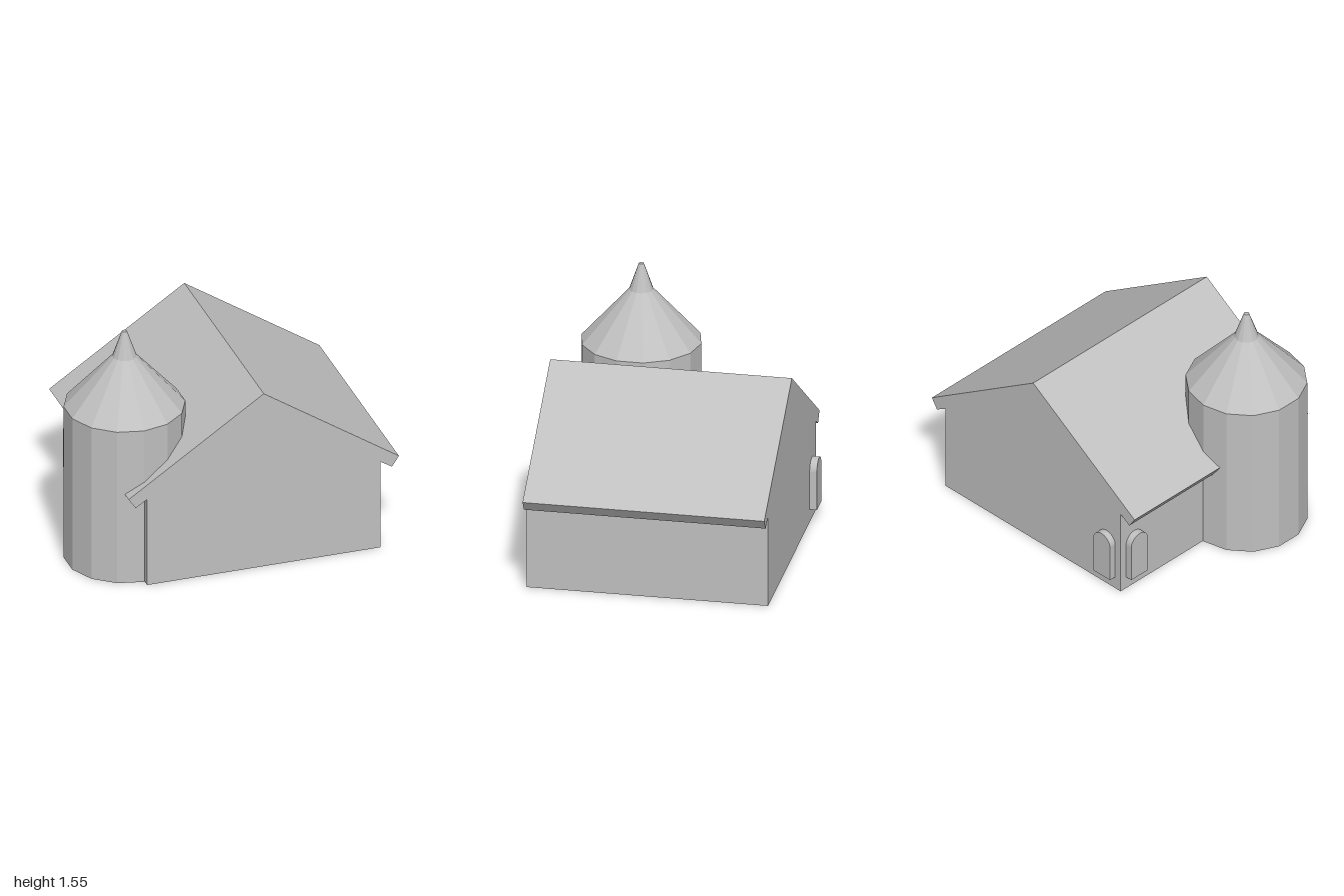
import * as THREE from 'three';

export function createModel() {
  const model = new THREE.Group();
  const plaster = new THREE.MeshStandardMaterial({ color: 0xc0c0c0 });
  plaster.name = 'plain grey';

  const add = (name, geometry, x = 0, y = 0, z = 0) => {
    const mesh = new THREE.Mesh(geometry, plaster);
    mesh.name = name;
    mesh.position.set(x, y, z);
    model.add(mesh);
    return mesh;
  };

  // Separate the faces so that every facet is shaded flat
  const faceted = (geometry) => {
    const flat = geometry.toNonIndexed();
    flat.computeVertexNormals();
    return flat;
  };

  // Barn: gable profile with overhanging eaves, mirrored about the ridge
  const half = [[0.755, 0], [0.755, 0.595], [0.83, 0.548], [0.875, 0.615]];
  const gable = [
    ...half,
    [0, 1.2],
    ...half.map(([x, y]) => [-x, y]).reverse(),
  ].map(([x, y]) => new THREE.Vector2(x, y));
  add('barn', new THREE.ExtrudeGeometry(new THREE.Shape(gable), {
    depth: 1.51, bevelEnabled: false,
  }), 0.125, 0, -0.735);

  // Round tower with a two-stage pointed roof
  const sides = 14, tx = -0.634, tz = 0.355;
  const stage = (name, rTop, rBottom, y0, y1, open) => add(name,
    faceted(new THREE.CylinderGeometry(rTop, rBottom, y1 - y0, sides, 1, open)),
    tx, (y0 + y1) / 2, tz);
  stage('towerWall', 0.375, 0.375, 0, 1.05, false);
  stage('towerRoof', 0.075, 0.375, 1.05, 1.385, true);
  stage('towerSpire', 0.016, 0.075, 1.385, 1.555, false);

  // Arched doors on both sides of the back corner
  const r = 0.073, spring = 0.332;
  const arch = new THREE.Shape();
  arch.moveTo(-r, 0.085);
  arch.lineTo(r, 0.085);
  arch.lineTo(r, spring);
  arch.absarc(0, spring, r, 0, Math.PI, false);
  arch.closePath();
  const doorGeometry = new THREE.ExtrudeGeometry(arch, {
    depth: 0.055, bevelEnabled: false, curveSegments: 24,
  });
  add('backDoor', doorGeometry, -0.51, 0, -0.725).rotation.y = Math.PI;
  add('sideDoor', doorGeometry, -0.62, 0, -0.615).rotation.y = -Math.PI / 2;

  return model;
}
